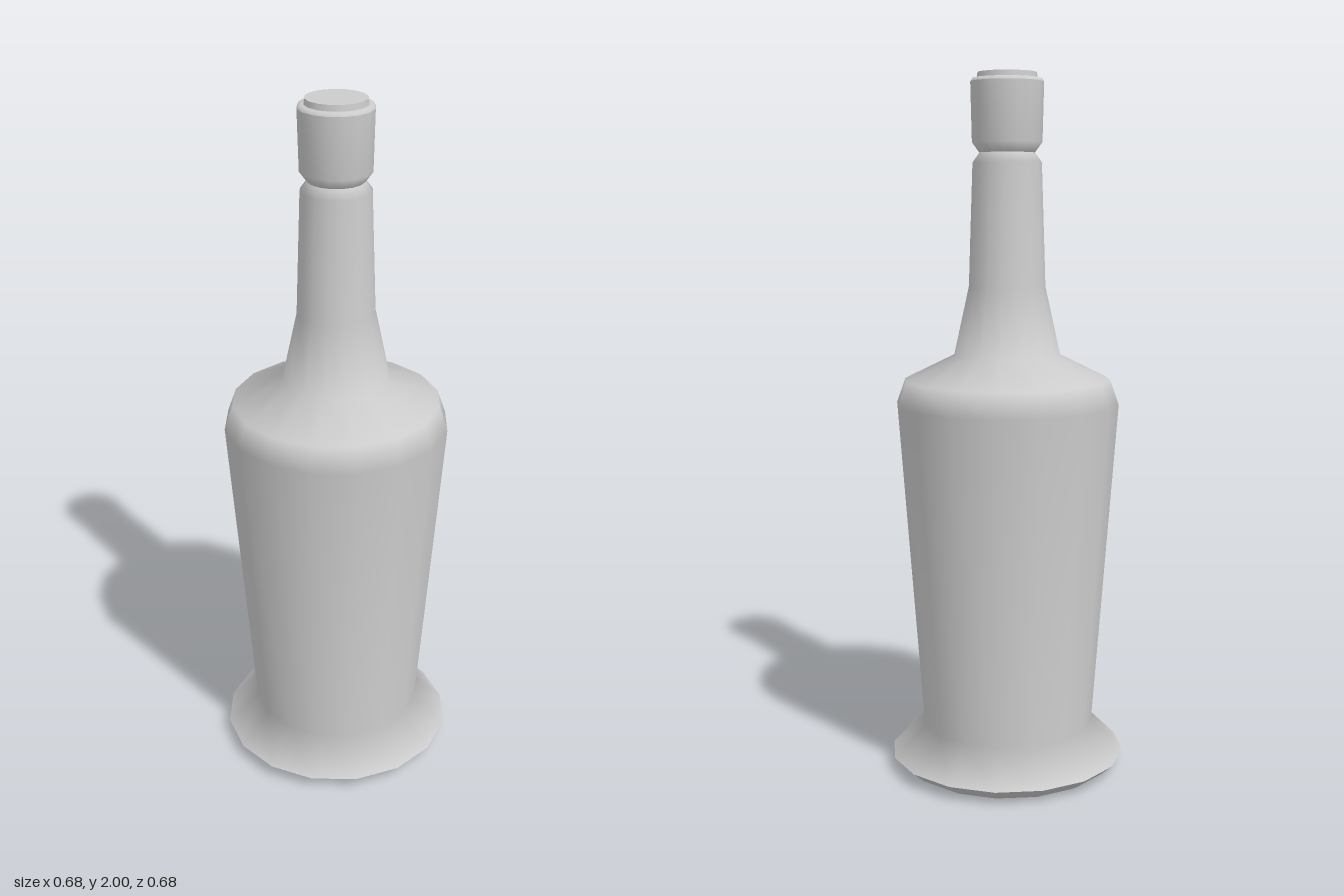
import * as THREE from 'three';

const SIDES = 16;

export function createModel() {
  const group = new THREE.Group();
  group.name = 'bottle';
  const material = new THREE.MeshStandardMaterial({ color: 0xcccccc });

  // Turned part from [radius, height] pairs, listed bottom to top
  function turned(name, profile) {
    const points = profile.map(([r, y]) => new THREE.Vector2(r, y));
    const mesh = new THREE.Mesh(new THREE.LatheGeometry(points, SIDES), material);
    mesh.name = name;
    group.add(mesh);
    return mesh;
  }

  // Flat disc closing an end, facing up or down
  function disc(name, radius, y, up) {
    const geometry = new THREE.CircleGeometry(radius, SIDES);
    geometry.rotateX(up ? -Math.PI / 2 : Math.PI / 2);
    const mesh = new THREE.Mesh(geometry, material);
    mesh.name = name;
    mesh.position.y = y;
    group.add(mesh);
  }

  // Foot: flat underside and the bevel out to the rim
  disc('footUnderside', 0.29, 0, false);
  turned('footBevel', [[0.29, 0], [0.31, 0.012], [0.342, 0.04]]);

  // Flared foot, tapered body, shoulder and neck in one smooth skin
  const body = turned('body', [
    [0.342, 0.04], [0.25, 0.132], [0.32, 1.075], [0.295, 1.145],
    [0.152, 1.215], [0.105, 1.41], [0.0965, 1.755], [0.078, 1.782],
  ]);

  // The neck is slightly wider from side to side than from front to back
  const pos = body.geometry.attributes.position;
  for (let i = 0; i < pos.count; i++) {
    const y = pos.getY(i);
    if (y < 1.3 || y > 1.77) continue;
    const spread = y < 1.5 ? 0.05 : 0.015;
    pos.setX(i, pos.getX(i) * (1 + spread));
    pos.setZ(i, pos.getZ(i) * (1 - spread));
  }

  // Stopper: collar above the groove, ledge and raised top
  turned('stopperCollar', [[0.078, 1.782], [0.099, 1.81], [0.103, 1.975]]);
  turned('stopperLedge', [[0.103, 1.975], [0.098, 1.984], [0.085, 1.984]]);
  turned('stopperRim', [[0.085, 1.984], [0.083, 2]]);
  disc('stopperTop', 0.083, 2, true);

  return group;
}
